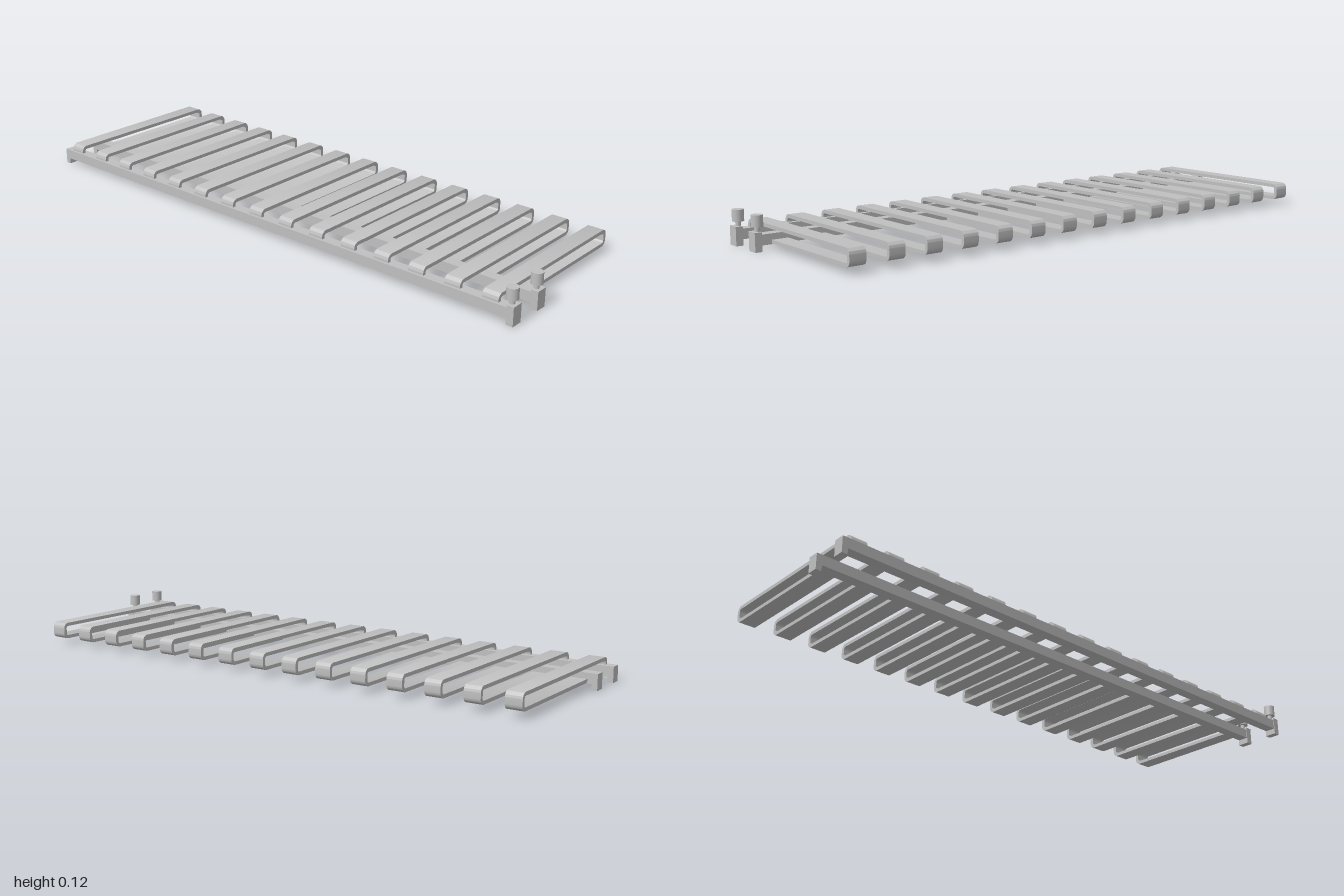
import * as THREE from 'three';
import { toCreasedNormals } from 'three/addons/utils/BufferGeometryUtils.js';

const RAILS = [-0.294, -0.165];
const SLATS = 15;

// Hairpin strip: leaves the inner rail, turns up at the far side, returns over both rails
// and bends down onto the outer rail.
function slatGeometry() {
  const t = 0.012, R = 0.02, r = R - t;
  const x0 = -0.304, x1 = 0.312, y0 = 0.022, y1 = 0.08;
  const s = new THREE.Shape();
  s.moveTo(-0.16, y0);
  s.lineTo(x1 - R, y0);
  s.absarc(x1 - R, y0 + R, R, -Math.PI / 2, 0, false);
  s.lineTo(x1, y1 - R);
  s.absarc(x1 - R, y1 - R, R, 0, Math.PI / 2, false);
  s.lineTo(x0 + R, y1);
  s.absarc(x0 + R, y1 - R, R, Math.PI / 2, Math.PI, false);
  s.lineTo(x0, 0.045);
  s.lineTo(x0 + t, 0.045);
  s.lineTo(x0 + t, y1 - R);
  s.absarc(x0 + R, y1 - R, r, Math.PI, Math.PI / 2, true);
  s.lineTo(x1 - R, y1 - t);
  s.absarc(x1 - R, y1 - R, r, Math.PI / 2, 0, true);
  s.lineTo(x1 - t, y0 + R);
  s.absarc(x1 - R, y0 + R, r, 0, -Math.PI / 2, true);
  s.lineTo(-0.16, y0 + t);
  s.closePath();
  const width = 0.056;
  const g = new THREE.ExtrudeGeometry(s, { depth: width, bevelEnabled: false, curveSegments: 8 });
  g.translate(0, 0, -width / 2);
  return toCreasedNormals(g, 0.6);
}

export function createModel() {
  const model = new THREE.Group();
  const metal = new THREE.MeshStandardMaterial({ color: 0xc0c0c0 });
  metal.name = 'brushed metal';

  function add(name, geometry, x, y, z) {
    const mesh = new THREE.Mesh(geometry, metal);
    mesh.name = name;
    mesh.position.set(x, y, z);
    model.add(mesh);
  }

  // Two long rails, each with an end bracket and a valve
  for (const x of RAILS) {
    add('rail', new THREE.BoxGeometry(0.037, 0.034, 1.97), x, 0.037, 0);
    add('rearBracket', new THREE.BoxGeometry(0.037, 0.054, 0.02), x, 0.027, -0.99);
    add('valveBlock', new THREE.BoxGeometry(0.041, 0.062, 0.024), x, 0.031, 0.988);
    add('valveNeck', new THREE.CylinderGeometry(0.009, 0.009, 0.022, 24), x, 0.07, 0.981);
    add('valveCap', new THREE.CylinderGeometry(0.019, 0.019, 0.038, 32), x, 0.096, 0.981);
  }

  // Evenly spaced slats
  const slat = slatGeometry();
  for (let i = 0; i < SLATS; i++) {
    add('slat', slat, 0, 0, -0.938 + i * 0.1323);
  }
  return model;
}
